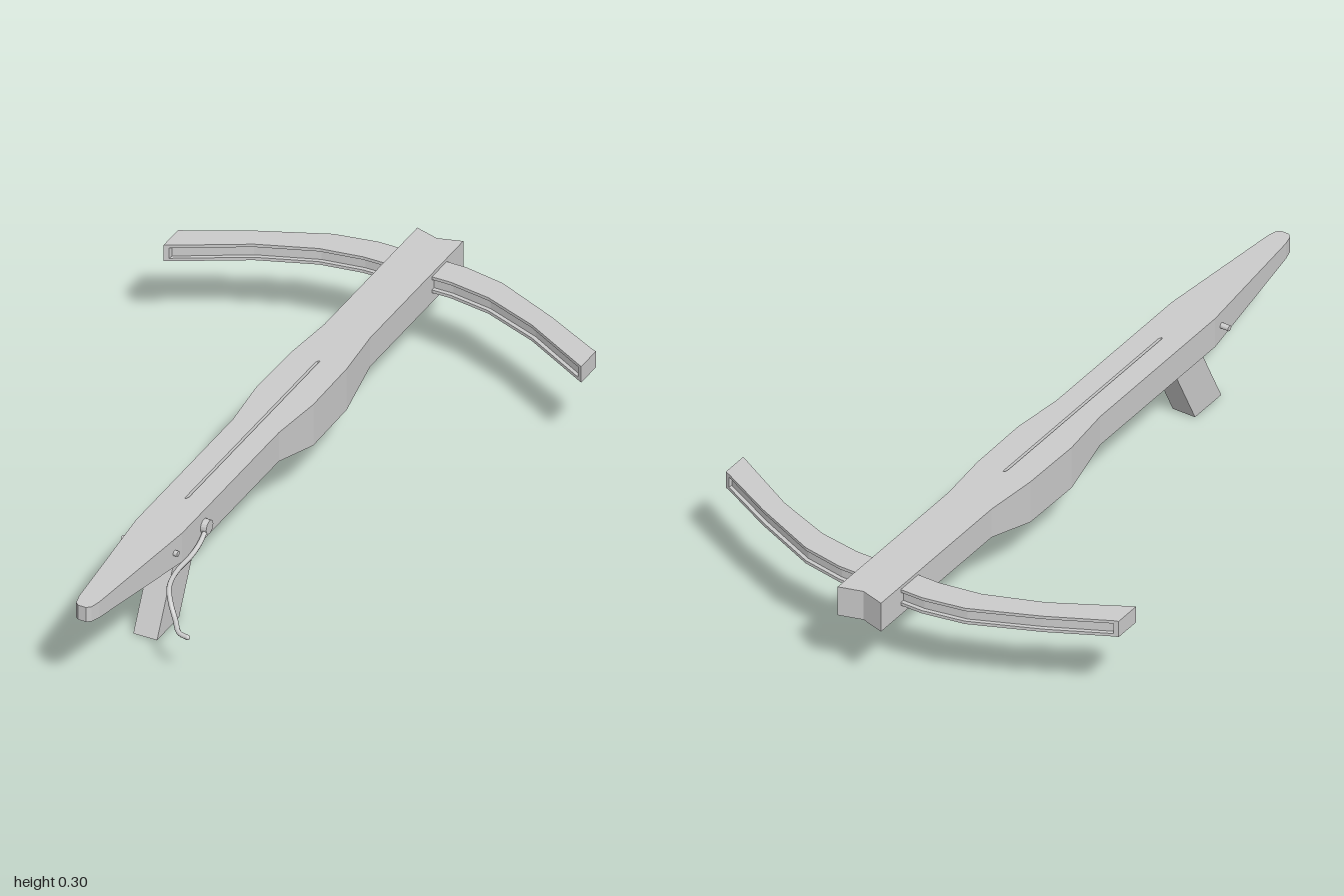
import * as THREE from 'three';

const grey = new THREE.MeshStandardMaterial({ color: 0xcccccc, flatShading: true });
const smooth = new THREE.MeshStandardMaterial({ color: 0xcccccc });

// Skins a list of equal-length rings and closes both ends with fans.
function loft(rings) {
  const pos = [];
  const tri = (...pts) => pts.forEach((p) => pos.push(...p));
  const n = rings[0].length;
  for (let i = 0; i < rings.length - 1; i++) {
    for (let j = 0; j < n; j++) {
      const k = (j + 1) % n;
      const [a, b, c, d] = [rings[i][j], rings[i][k], rings[i + 1][k], rings[i + 1][j]];
      tri(a, b, c);
      tri(a, c, d);
    }
  }
  const first = rings[0], last = rings[rings.length - 1];
  for (let j = 1; j < n - 1; j++) {
    tri(first[0], first[j + 1], first[j]);
    tri(last[0], last[j], last[j + 1]);
  }
  const g = new THREE.BufferGeometry();
  g.setAttribute('position', new THREE.Float32BufferAttribute(pos, 3));
  g.computeVertexNormals();
  return g;
}

export function createModel() {
  const model = new THREE.Group();
  const add = (name, geometry, material = grey) => {
    const mesh = new THREE.Mesh(geometry, material);
    mesh.name = name;
    model.add(mesh);
    return mesh;
  };

  // Stock: z, half width, bottom height, depth of bolt groove, notch in the end
  const cx = 0.005, top = 0.3;
  const stock = [
    [-1, 0.068, 0.21, 0, 0.02],
    [-0.48, 0.068, 0.21, 0, 0],
    [-0.32, 0.083, 0.172, 0, 0],
    [-0.31, 0.083, 0.172, 0.012, 0],
    [-0.13, 0.085, 0.172, 0.012, 0],
    [0.03, 0.068, 0.21, 0.012, 0],
    [0.41, 0.068, 0.21, 0.012, 0],
    [0.42, 0.068, 0.21, 0, 0],
    [0.57, 0.068, 0.21, 0, 0],
    [0.96, 0.03, 0.251, 0, 0],
    [0.99, 0.023, 0.254, 0, 0],
    [1, 0.012, 0.255, 0, 0],
  ];
  add('stock', loft(stock.map(([z, h, bottom, groove, notch]) => {
    const g = 0.004, m = z + notch, zg = z + notch * (1 - g / h);
    return [
      [cx, bottom, m], [cx + h, bottom, z], [cx + h, top, z], [cx + g, top, zg],
      [cx, top - groove, m], [cx - g, top, zg], [cx - h, top, z], [cx - h, bottom, z],
    ];
  })));

  // Bow: outer x, z and inner x, z from the middle to the tip, and channel depth
  const half = [
    [0.13, -0.907, 0.13, -0.825, 0.012],
    [0.25, -0.885, 0.25, -0.806, 0.012],
    [0.44, -0.802, 0.41, -0.745, 0.012],
    [0.602, -0.718, 0.602, -0.638, 0.012],
    [0.604, -0.717, 0.604, -0.637, 0],
    [0.617, -0.712, 0.617, -0.63, 0],
  ];
  const limbs = [...half.map(([a, b, c, d, e]) => [-a, b, -c, d, e]).reverse(), ...half];
  add('bow', loft(limbs.map(([ox, oz, ix, iz, depth]) => {
    const len = Math.hypot(ix - ox, iz - oz);
    const dx = ((ix - ox) / len) * depth, dz = ((iz - oz) / len) * depth;
    const lo = 0.24, hi = 0.29, lip = 0.009;
    return [
      [ox, lo, oz], [ox, lo + lip, oz], [ox + dx, lo + lip, oz + dz],
      [ox + dx, hi - lip, oz + dz], [ox, hi - lip, oz], [ox, hi, oz],
      [ix, hi, iz], [ix, hi - lip, iz], [ix - dx, hi - lip, iz - dz],
      [ix - dx, lo + lip, iz - dz], [ix, lo + lip, iz], [ix, lo, iz],
    ];
  })));

  // Slanted grip and the small wedge behind it
  const slab = (x0, x1, profile) => {
    const shape = new THREE.Shape(profile.map(([z, y]) => new THREE.Vector2(-z, y)));
    return new THREE.ExtrudeGeometry(shape, { depth: x1 - x0, bevelEnabled: false })
      .rotateY(Math.PI / 2).translate(x0, 0, 0);
  };
  add('grip', slab(-0.03, 0.04, [[0.648, 0], [0.525, 0], [0.415, 0.22], [0.538, 0.22]]));
  add('gripWedge', slab(-0.02, 0.03, [[0.44, 0.178], [0.42, 0.18], [0.39, 0.215], [0.44, 0.215]]));

  // Lever pivot and cross pin
  const peg = (name, r, x0, x1, y, z) => {
    const g = new THREE.CylinderGeometry(r, r, x1 - x0, 16).rotateZ(Math.PI / 2);
    add(name, g).position.set((x0 + x1) / 2, y, z);
  };
  peg('leverPivot', 0.02, 0.065, 0.09, 0.253, 0.448);
  peg('crossPin', 0.008, -0.085, 0.08, 0.257, 0.605);

  // Curved release lever
  const path = new THREE.CatmullRomCurve3([
    [0.083, 0.253, 0.45], [0.083, 0.225, 0.49], [0.079, 0.208, 0.53], [0.077, 0.203, 0.61],
    [0.088, 0.195, 0.67], [0.11, 0.175, 0.705], [0.14, 0.147, 0.735],
    [0.17, 0.134, 0.77], [0.198, 0.132, 0.776],
  ].map((p) => new THREE.Vector3(...p)));
  add('lever', new THREE.TubeGeometry(path, 40, 0.007, 8), smooth);
  for (const t of [0, 1]) {
    add('leverEnd', new THREE.SphereGeometry(0.007, 8, 6), smooth).position.copy(path.getPoint(t));
  }

  return model;
}
